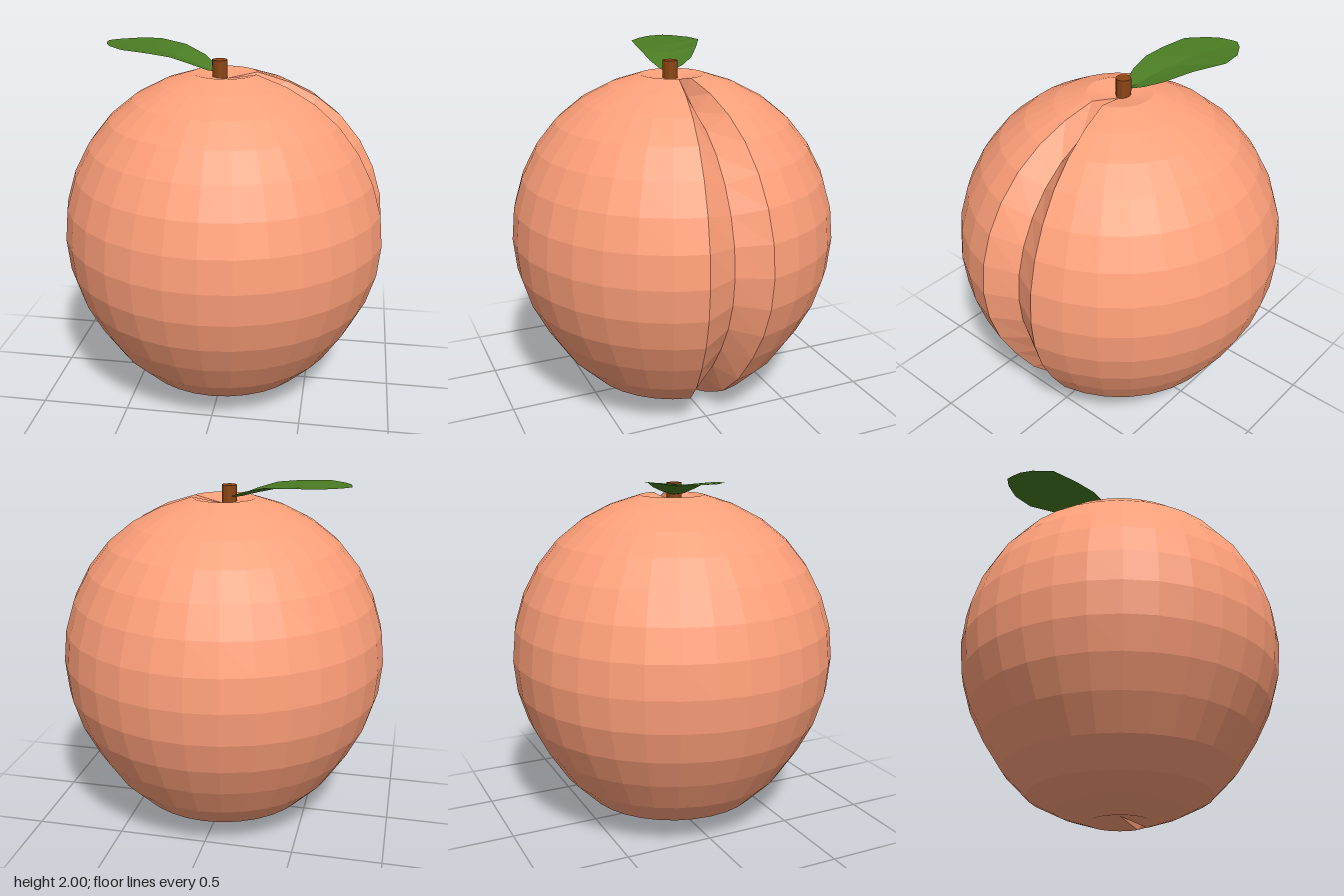
import * as THREE from 'three';

const material = (color, side = THREE.FrontSide) =>
  new THREE.MeshStandardMaterial({ color, flatShading: true, side });

// Round fruit: dimpled at both poles, heavier below, creased along its left side
function createFruit() {
  const columns = 32, rows = 16, centreY = 0.98;
  const ringHeights = [1.85, 1.886, 1.83, 1.747, 1.635, 1.493, 1.332, 1.16,
    0.98, 0.8, 0.626, 0.458, 0.282, 0.14, 0.06, 0, 0.04];
  const geometry = new THREE.SphereGeometry(0.92, columns, rows);
  const p = geometry.attributes.position;
  for (let row = 0; row <= rows; row++) {
    for (let col = 0; col <= columns; col++) {
      const i = row * (columns + 1) + col;
      const pole = row === 0 || row === rows;
      const scale = col === columns / 2 && !pole ? 0.885 : 1; // crease
      const y = centreY + (ringHeights[row] - centreY) * scale;
      p.setXYZ(i, pole ? 0 : p.getX(i) * scale, y, pole ? 0 : p.getZ(i) * scale);
    }
  }
  geometry.computeVertexNormals();
  const mesh = new THREE.Mesh(geometry, material(0xffa07a));
  mesh.name = 'fruit';
  return mesh;
}

function createStem() {
  const mesh = new THREE.Mesh(new THREE.CylinderGeometry(0.042, 0.042, 0.105, 12), material(0x8b4513));
  mesh.position.set(-0.03, 1.9025, 0);
  mesh.name = 'stem';
  return mesh;
}

// Thin leaf lofted through [back edge, midrib, front edge] cross-sections
function createLeaf() {
  const sections = [
    [[-0.04, 1.89, -0.01], [-0.04, 1.885, 0], [-0.04, 1.89, 0.01]],
    [[-0.08, 1.915, -0.1], [-0.11, 1.9, -0.03], [-0.09, 1.9, 0.035]],
    [[-0.14, 1.945, -0.18], [-0.19, 1.925, -0.055], [-0.18, 1.935, 0.06]],
    [[-0.27, 1.985, -0.27], [-0.3, 1.955, -0.095], [-0.29, 1.97, 0.065]],
    [[-0.44, 2, -0.36], [-0.44, 1.98, -0.14], [-0.42, 1.985, 0.05]],
    [[-0.57, 2, -0.345], [-0.58, 1.99, -0.19], [-0.58, 1.995, -0.0 + 0.02]],
    [[-0.67, 2, -0.29], [-0.67, 1.995, -0.215], [-0.67, 1.997, -0.07]],
    [[-0.72, 2, -0.24], [-0.715, 2, -0.19], [-0.705, 2, -0.14]],
  ];
  const index = [];
  for (let s = 0; s < sections.length - 1; s++) {
    for (let k = 0; k < 2; k++) {
      const a = s * 3 + k, b = a + 3;
      index.push(a, a + 1, b, a + 1, b + 1, b);
    }
  }
  const geometry = new THREE.BufferGeometry();
  geometry.setAttribute('position', new THREE.Float32BufferAttribute(sections.flat(2), 3));
  // corners run so that the upper side is the front
  for (let i = 0; i < index.length; i += 3) [index[i + 1], index[i + 2]] = [index[i + 2], index[i + 1]];
  const up = (i) => {
    const [a, b, c] = [0, 1, 2].map((k) =>
      new THREE.Vector3().fromBufferAttribute(geometry.attributes.position, index[i + k]));
    return b.sub(a).cross(c.sub(a)).y > 0;
  };
  if (!up(12)) for (let i = 0; i < index.length; i += 3) [index[i + 1], index[i + 2]] = [index[i + 2], index[i + 1]];
  geometry.setIndex(index);
  geometry.computeVertexNormals();
  const mesh = new THREE.Mesh(geometry, material(0x4a7c23, THREE.DoubleSide));
  mesh.name = 'leaf';
  return mesh;
}

export function createModel() {
  const group = new THREE.Group();
  group.name = 'peach';
  group.add(createFruit(), createStem(), createLeaf());
  return group;
}
